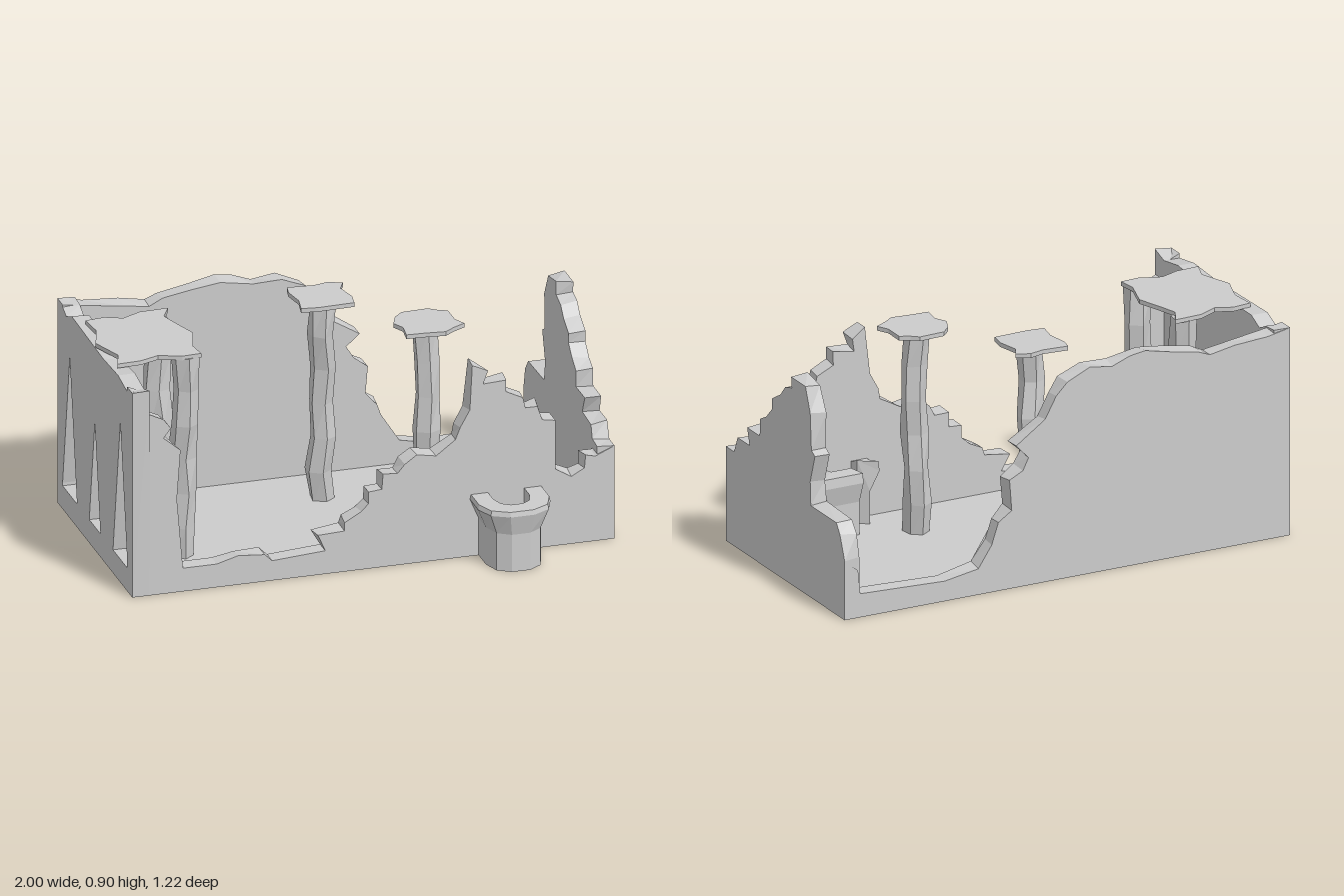
import * as THREE from 'three';

const stone = new THREE.MeshStandardMaterial({ color: 0xcccccc, flatShading: true });
const stoneBoth = new THREE.MeshStandardMaterial({ color: 0xcccccc, flatShading: true, side: THREE.DoubleSide });
const THICK = 0.07;

// Repeatable offset in -1..1 that depends only on position
function wobble(a, b, c) {
  const s = Math.sin(a * 127.1 + b * 311.7 + c * 74.7) * 43758.5453;
  return (s - Math.floor(s)) * 2 - 1;
}

function named(geometry, name, material = stone) {
  const mesh = new THREE.Mesh(geometry, material);
  mesh.name = name;
  return mesh;
}

// Slab with a broken top line; the inner side of the break is slightly rough
function wallGeometry(top, innerDepth, holes = []) {
  const first = top[0][0], last = top[top.length - 1][0];
  const shape = new THREE.Shape([[first, 0], [last, 0], ...[...top].reverse()].map(p => new THREE.Vector2(...p)));
  for (const [u, peak] of holes) {
    const half = (peak - 0.1) * 0.165;
    shape.holes.push(new THREE.Path([[u - half, 0.1], [u, peak], [u + half, 0.1]].map(p => new THREE.Vector2(...p))));
  }
  const g = new THREE.ExtrudeGeometry(shape, { depth: THICK, bevelEnabled: false });
  const p = g.attributes.position;
  for (let i = 0; i < p.count; i++) {
    const u = p.getX(i), y = p.getY(i);
    if (Math.abs(p.getZ(i) - innerDepth) > 0.01 || y < 0.105 || u === first || u === last) continue;
    p.setXY(i, u + 0.01 * wobble(u, y, 1), y + 0.01 * wobble(u, y, 2));
  }
  g.computeVertexNormals();
  return g;
}

// Rough pillar: six-sided prism with shifted rings
function pillar(x, z, seed) {
  const g = new THREE.CylinderGeometry(0.053, 0.053, 0.88, 6, 6);
  const p = g.attributes.position;
  for (let i = 0; i < p.count; i++) {
    const ring = Math.round((p.getY(i) + 0.44) * 6 / 0.88);
    const px = p.getX(i), pz = p.getZ(i);
    const k = 1 + 0.14 * wobble(Math.round(px * 100), Math.round(pz * 100), ring + seed);
    p.setX(i, px * k + 0.012 * wobble(ring, seed, 3));
    p.setZ(i, pz * k + 0.012 * wobble(ring, seed, 5));
  }
  g.translate(x, 0.44, z);
  g.computeVertexNormals();
  return named(g, 'pillar');
}

// Thin broken ceiling piece on top of the pillars
function ceilingPiece(outline) {
  const shape = new THREE.Shape(outline.map(([x, z]) => new THREE.Vector2(x, -z)));
  const g = new THREE.ExtrudeGeometry(shape, { depth: 0.018, bevelEnabled: false });
  g.rotateX(-Math.PI / 2).translate(0, 0.877, 0);
  return named(g, 'ceilingPiece', stoneBoth);
}

// Hollow flared turret: a wall section carried round an open plan outline
function turret() {
  const plan = [[0.52, 0.13], [0.7, 0.13], [0.7, 0.3], [0.7, 0.5], [0.67, 0.575], [0.6, 0.613],
    [0.5, 0.613], [0.43, 0.575], [0.4, 0.5], [0.4, 0.3], [0.4, 0.22]];
  const cx = 0.55, cz = 0.37;
  // x scale, z scale, height
  const section = [[0.76, 0.91, 0], [0.76, 0.91, 0.16], [1, 1, 0.245], [0.97, 0.98, 0.265], [0.5, 0.68, 0.265], [0.5, 0.68, 0]];
  const n = section.length, pos = [], idx = [];
  for (const [x, z] of plan)
    for (const [kx, kz, y] of section)
      pos.push(cx + (x - cx) * kx, y > 0.26 && z < 0.25 ? y + 0.02 : y, cz + (z - cz) * kz);
  for (let i = 0; i < plan.length - 1; i++)
    for (let j = 0; j < n; j++) {
      const a = i * n + j, b = i * n + (j + 1) % n;
      idx.push(a, b, a + n, b, b + n, a + n);
    }
  // end faces
  const end = (plan.length - 1) * n;
  for (const [a, b, c] of [[0, 1, 5], [1, 4, 5], [1, 2, 4], [2, 3, 4]]) {
    idx.push(a, c, b, end + a, end + b, end + c);
  }
  const g = new THREE.BufferGeometry();
  g.setAttribute('position', new THREE.Float32BufferAttribute(pos, 3));
  g.setIndex(idx);
  const flat = g.toNonIndexed();
  flat.computeVertexNormals();
  return named(flat, 'turret', stoneBoth);
}

export function createModel() {
  const model = new THREE.Group();
  model.name = 'ruinedHall';

  const floor = named(new THREE.BoxGeometry(1.98, 0.02, 0.98), 'floor');
  floor.position.set(0, 0.01, -0.11);
  model.add(floor);

  // Front wall, mostly collapsed
  const front = named(wallGeometry([
    [-1, 0.88], [-0.95, 0.85], [-0.93, 0.78], [-0.87, 0.75], [-0.84, 0.71], [-0.87, 0.67], [-0.8, 0.61],
    [-0.815, 0.4], [-0.79, 0.1], [-0.65, 0.1], [-0.56, 0.125], [-0.45, 0.115], [-0.42, 0.085], [-0.2, 0.1],
    [-0.23, 0.17], [-0.12, 0.175], [-0.12, 0.21], [-0.05, 0.25], [-0.02, 0.28], [-0.02, 0.33], [0.035, 0.335],
    [0.04, 0.4], [0.1, 0.395], [0.13, 0.43], [0.18, 0.465], [0.26, 0.45], [0.34, 0.51], [0.36, 0.56],
    [0.4, 0.63], [0.41, 0.82], [0.475, 0.79], [0.455, 0.735], [0.55, 0.74], [0.55, 0.69], [0.62, 0.655],
    [0.63, 0.61], [0.68, 0.61], [0.7, 0.55], [0.755, 0.54], [0.755, 0.33], [0.82, 0.29], [0.875, 0.32],
    [0.88, 0.375], [0.92, 0.365], [1, 0.4]], 0), 'frontWall');
  front.position.z = 0.32;

  // Back wall, broken down to the sill on the left
  const back = named(wallGeometry([
    [-1, 0.88], [-0.9, 0.86], [-0.75, 0.85], [-0.64, 0.83], [-0.59, 0.85], [-0.46, 0.875], [-0.35, 0.9],
    [-0.28, 0.89], [-0.2, 0.86], [-0.1, 0.875], [0, 0.83], [0.05, 0.78], [0.1, 0.69], [0.23, 0.6],
    [0.175, 0.54], [0.2, 0.49], [0.26, 0.46], [0.25, 0.33], [0.31, 0.29], [0.34, 0.2], [0.4, 0.11],
    [0.55, 0.085], [0.8, 0.095], [0.93, 0.1], [0.94, 0.2], [1, 0.25]], THICK), 'backWall');
  back.position.z = -0.61;

  // Left wall with one tall broken spire
  const left = named(wallGeometry([
    [-0.61, 0.25], [-0.57, 0.35], [-0.54, 0.39], [-0.325, 0.39], [-0.32, 0.49], [-0.36, 0.61], [-0.33, 0.625],
    [-0.32, 0.78], [-0.28, 0.88], [-0.16, 0.88], [-0.165, 0.835], [-0.11, 0.82], [-0.07, 0.775], [0, 0.735],
    [0, 0.69], [0.05, 0.64], [0.1, 0.615], [0.105, 0.54], [0.21, 0.54], [0.19, 0.47], [0.29, 0.47],
    [0.32, 0.4], [0.39, 0.4]], THICK), 'leftWall');
  left.rotation.y = -Math.PI / 2;
  left.position.x = 1;

  // Right wall with three pointed windows
  const right = named(wallGeometry([
    [-0.61, 0.88], [-0.54, 0.87], [-0.49, 0.85], [-0.42, 0.88], [-0.2, 0.875], [0, 0.87], [0.2, 0.88],
    [0.32, 0.86], [0.39, 0.88]], 0, [[-0.445, 0.69], [-0.11, 0.55], [0.23, 0.69]]), 'rightWall');
  right.rotation.y = -Math.PI / 2;
  right.position.x = -1 + THICK;
  model.add(front, back, left, right);

  [[-0.685, 0.08], [-0.685, -0.29], [0, -0.3], [0.31, 0.08]].forEach(([x, z], i) => model.add(pillar(x, z, i * 7)));

  model.add(
    ceilingPiece([[-0.97, -0.33], [-0.89, -0.34], [-0.82, -0.31], [-0.74, -0.35], [-0.62, -0.355], [-0.66, -0.28],
      [-0.64, -0.21], [-0.6, -0.09], [-0.64, 0.04], [-0.63, 0.12], [-0.71, 0.125], [-0.8, 0.09], [-0.88, 0.12],
      [-0.98, 0.125], [-0.95, 0.04], [-1, -0.1], [-0.96, -0.22]]),
    ceilingPiece([[-0.11, -0.41], [0, -0.4], [0.06, -0.415], [0.115, -0.39], [0.09, -0.34], [0.11, -0.25],
      [0.1, -0.185], [-0.05, -0.18], [-0.12, -0.19], [-0.105, -0.27], [-0.12, -0.36]]),
    ceilingPiece([[0.25, -0.04], [0.36, -0.045], [0.39, -0.02], [0.43, 0], [0.43, 0.09], [0.455, 0.14], [0.4, 0.17],
      [0.36, 0.2], [0.28, 0.19], [0.2, 0.185], [0.21, 0.11], [0.185, 0.06], [0.21, 0]]));

  model.add(turret());
  return model;
}
